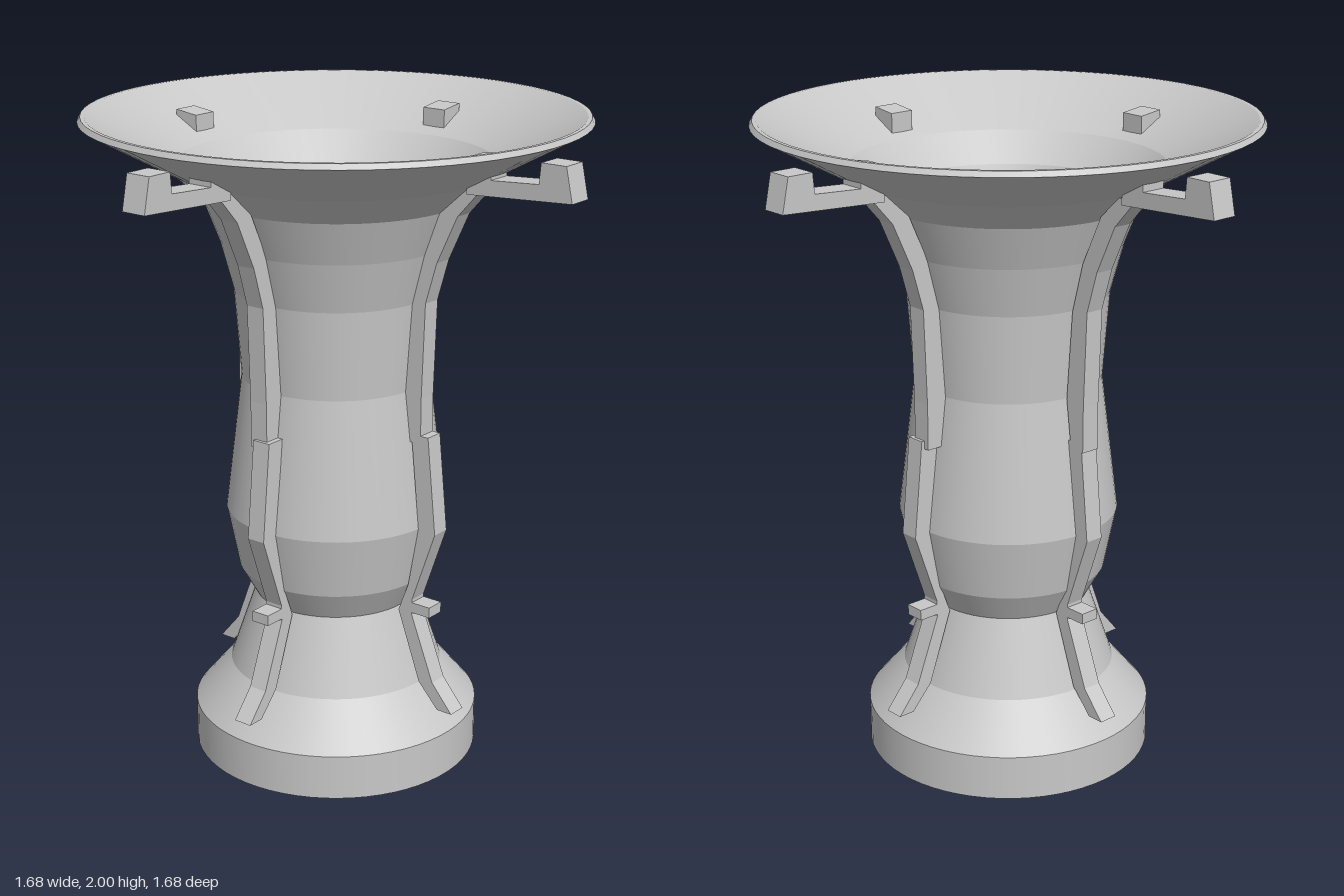
import * as THREE from 'three';
import { mergeGeometries } from 'three/addons/utils/BufferGeometryUtils.js';

const stone = new THREE.MeshStandardMaterial({ color: 0xc8c8c8, side: THREE.DoubleSide });
stone.name = 'light grey';

const points = (list) => list.map(([x, y]) => new THREE.Vector2(x, y));

// Round shell whose bands are smooth around and crisp between each other
function bandedLathe(profile) {
  const p = points(profile);
  const bands = [];
  for (let i = 0; i < p.length - 1; i++) bands.push(new THREE.LatheGeometry([p[i], p[i + 1]], 64));
  return mergeGeometries(bands);
}

// Side outline (radius, height) given a width, centred on its own plane
function plate(outline, width) {
  return new THREE.ExtrudeGeometry(new THREE.Shape(points(outline)), { depth: width, bevelEnabled: false })
    .translate(0, 0, -width / 2);
}

function addMesh(parent, name, geometry) {
  const mesh = new THREE.Mesh(geometry, stone);
  mesh.name = name;
  parent.add(mesh);
  return mesh;
}

export function createModel() {
  const model = new THREE.Group();
  model.name = 'flaredVessel';

  // Hollow body: foot and flared bowl, outside going up and inside going down
  const body = new THREE.Group();
  body.name = 'body';
  body.position.z = 0.01;
  model.add(body);
  addMesh(body, 'foot', bandedLathe([
    [0.235, 0.51], [0.31, 0.27], [0.42, 0.135], [0.42, 0],
    [0.443, 0], [0.443, 0.14], [0.33, 0.275], [0.25, 0.51],
  ]));
  addMesh(body, 'bowl', bandedLathe([
    [0.25, 0.51], [0.30, 0.6], [0.337, 0.79], [0.285, 1.21], [0.305, 1.48],
    [0.345, 1.63], [0.395, 1.76], [0.49, 1.845], [0.746, 1.985], [0.737, 2],
    [0.725, 2], [0.465, 1.86], [0.378, 1.77], [0.33, 1.64], [0.287, 1.48],
    [0.268, 1.21], [0.318, 0.79], [0.285, 0.61],
  ]));
  addMesh(body, 'bowlFloor', new THREE.LatheGeometry(
    points([[0.285, 0.61], [0.2, 0.56], [0.1, 0.53], [0, 0.515]]), 64));

  // Four supports around the body, each with a bracket, two ribs and a stud
  const bracket = plate([
    [0.50, 1.83], [0.842, 1.85], [0.82, 1.95], [0.74, 1.95],
    [0.735, 1.89], [0.58, 1.88], [0.58, 1.945], [0.50, 1.935],
  ], 0.08);
  const upperRib = plate([
    [0.35, 1.06], [0.35, 1.20], [0.36, 1.49], [0.397, 1.615], [0.465, 1.76], [0.53, 1.832],
    [0.53, 1.86], [0.48, 1.845], [0.41, 1.78], [0.34, 1.63], [0.30, 1.48], [0.28, 1.21], [0.30, 1.06],
  ], 0.06);
  const lowerRib = plate([
    [0.41, 0.215], [0.463, 0.215], [0.39, 0.30], [0.31, 0.505], [0.31, 0.555], [0.39, 0.785],
    [0.36, 1.085], [0.30, 1.085], [0.33, 0.79], [0.295, 0.6], [0.26, 0.51], [0.34, 0.29],
  ], 0.06);
  const stud = plate([[0.29, 0.512], [0.375, 0.512], [0.375, 0.545], [0.29, 0.545]], 0.06);

  for (let i = 0; i < 4; i++) {
    const upper = new THREE.Group();
    upper.name = 'upperSupport';
    upper.rotation.y = i * Math.PI / 2;
    addMesh(upper, 'bracket', bracket);
    addMesh(upper, 'upperRib', upperRib);

    const lower = new THREE.Group();
    lower.name = 'lowerSupport';
    lower.rotation.y = i * Math.PI / 2;
    lower.position.z = 0.017;
    addMesh(lower, 'lowerRib', lowerRib);
    addMesh(lower, 'stud', stud);
    model.add(upper, lower);
  }
  return model;
}
